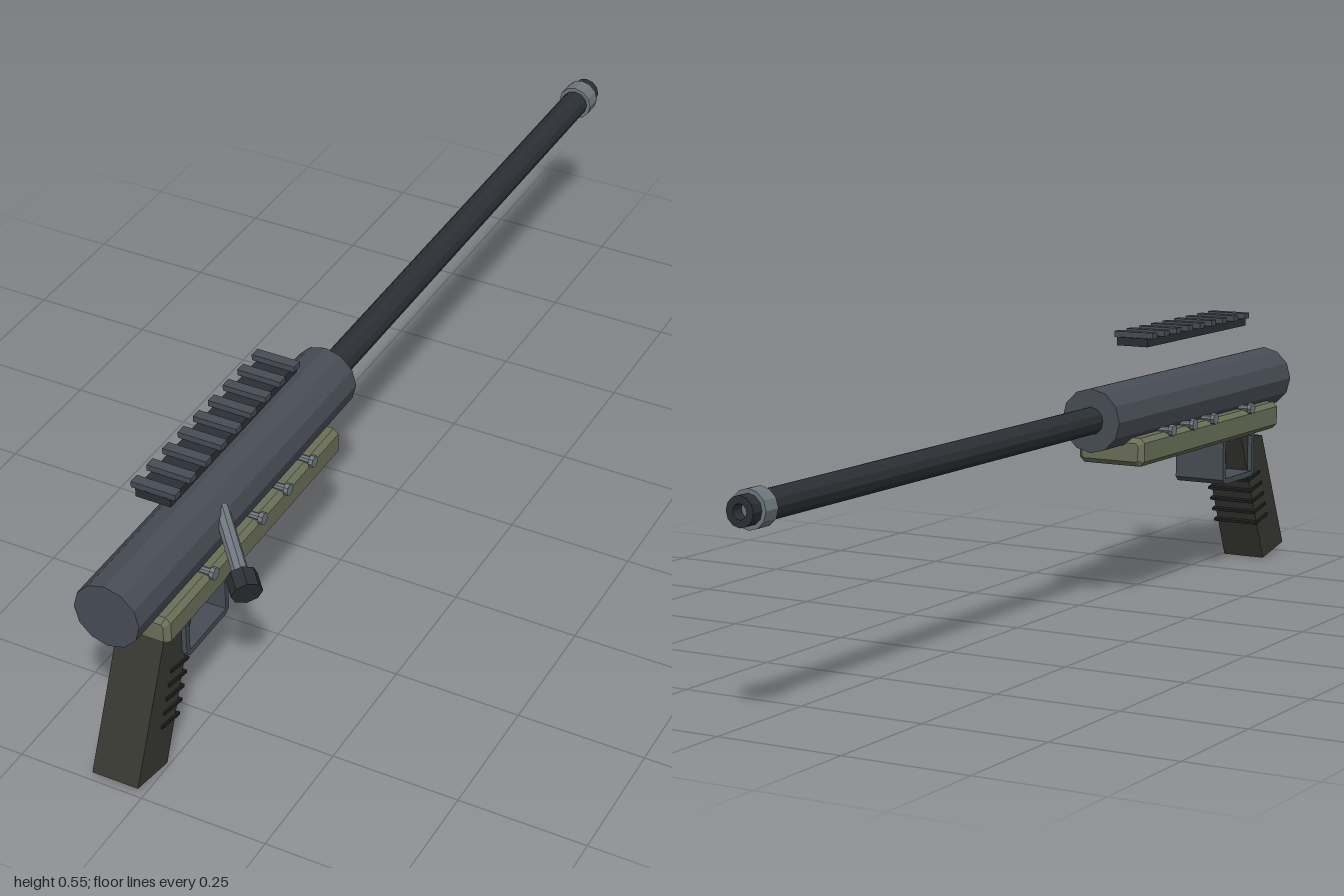
import * as THREE from 'three';

const mat = (color) => new THREE.MeshStandardMaterial({ color, flatShading: true });
const slate = mat(0x484d56), dark = mat(0x2c2f34), steel = mat(0x6f787f);
const olive = mat(0x6b7058), gripMat = mat(0x373731), black = mat(0x1f2022);

export function createModel() {
  const root = new THREE.Group();
  root.name = 'rifle';
  root.position.x = -0.053; // the body sits beside the bolt handle's overhang

  const add = (name, geo, material, x = 0, y = 0, z = 0) => {
    const m = new THREE.Mesh(geo, material);
    m.name = name;
    m.position.set(x, y, z);
    root.add(m);
    return m;
  };
  // Side profile in (z, y), extruded to a width centred on x = 0
  const sideProfile = (pts, width, hole) => {
    const shape = new THREE.Shape(pts.map((p) => new THREE.Vector2(...p)));
    if (hole) shape.holes.push(new THREE.Path(hole.map((p) => new THREE.Vector2(...p))));
    return new THREE.ExtrudeGeometry(shape, { depth: width, bevelEnabled: false })
      .translate(0, 0, -width / 2).rotateY(-Math.PI / 2);
  };
  // Cylinder between two points
  const rod = (name, a, b, radius, sides, material) => {
    const d = b.clone().sub(a);
    const mid = a.clone().add(b).multiplyScalar(0.5);
    const m = add(name, new THREE.CylinderGeometry(radius, radius, d.length(), sides), material, mid.x, mid.y, mid.z);
    m.quaternion.setFromUnitVectors(new THREE.Vector3(0, 1, 0), d.normalize());
    return m;
  };
  const v = (x, y, z) => new THREE.Vector3(x, y, z);
  const axisY = 0.39;

  // Receiver tube
  add('receiver', new THREE.CylinderGeometry(0.065, 0.065, 0.79, 12).rotateX(Math.PI / 2), slate, 0, axisY, 0.595);

  // Barrel with a shallow bore at the muzzle
  const barrelProfile = [[0, 0.95], [0.014, 0.95], [0.014, 1], [0.028, 1], [0.028, -0.22]];
  add('barrel', new THREE.LatheGeometry(barrelProfile.map(([r, h]) => new THREE.Vector2(r, h)).reverse(), 12)
    .rotateX(-Math.PI / 2), dark, 0, axisY, 0);
  add('muzzleRing', new THREE.CylinderGeometry(0.036, 0.036, 0.036, 12).rotateX(Math.PI / 2), steel, 0, axisY, -0.957);

  // Chamfered chassis under the receiver
  const w = 0.064, h = 0.019, c = 0.004, bevel = 0.01;
  const outline = [[w - c, -h], [w, c - h], [w, h - c], [w - c, h], [c - w, h], [-w, h - c], [-w, c - h], [c - w, -h]];
  add('chassis', new THREE.ExtrudeGeometry(new THREE.Shape(outline.map((p) => new THREE.Vector2(...p))), {
    depth: 0.635 - 2 * bevel, bevelThickness: bevel, bevelSize: bevel, bevelSegments: 1,
  }), olive, 0, 0.319, 0.28 + bevel);

  // Cross pins with round heads on both sides
  for (const z of [0.4, 0.495, 0.59, 0.765]) {
    for (const s of [-1, 1]) {
      rod('pinHead', v(s * 0.075, 0.351, z), v(s * 0.084, 0.351, z), 0.012, 8, steel);
      rod('pinShaft', v(s * 0.05, 0.351, z), v(s * 0.076, 0.351, z), 0.007, 8, steel);
    }
  }

  // Slanted grip and its ridges
  add('grip', sideProfile([[1, 0.02], [0.9, 0], [0.783, 0.288], [0.888, 0.275]], 0.094), gripMat);
  for (let i = 0; i < 5; i++) {
    const y = 0.09 + i * 0.025;
    const ridge = add('gripRidge', new THREE.BoxGeometry(0.102, 0.006, 0.06), black, 0, y, 0.9 - y * 0.406 + 0.021);
    ridge.rotation.x = -0.2;
  }

  // Trigger guard frame and trigger
  add('triggerGuard', sideProfile(
    [[0.68, 0.205], [0.69, 0.195], [0.82, 0.195], [0.83, 0.205], [0.83, 0.295], [0.68, 0.295]], 0.113,
    [[0.692, 0.207], [0.692, 0.285], [0.818, 0.285], [0.818, 0.207]]), slate);
  add('trigger', sideProfile([[0.767, 0.21], [0.783, 0.21], [0.77, 0.295], [0.75, 0.295]], 0.028), steel);

  // Bolt handle reaching out to the left and back
  const knob = v(0.153, 0.368, 0.786), dir = v(0.66, -0.3, 0.69).normalize();
  const along = (t) => knob.clone().addScaledVector(dir, t);
  rod('boltHandle', along(-0.165), along(0), 0.015, 8, steel);
  rod('boltKnob', along(-0.019), along(0.019), 0.029, 8, dark);

  // Accessory rail floating above the receiver
  add('railBase', new THREE.BoxGeometry(0.07, 0.017, 0.45), dark, 0, 0.53, 0.598);
  for (let i = 0; i < 9; i++) {
    add('railTooth', new THREE.BoxGeometry(0.088, 0.012, 0.021), slate, 0, 0.544, 0.388 + i * 0.053);
  }

  const model = new THREE.Group();
  model.add(root);
  return model;
}
